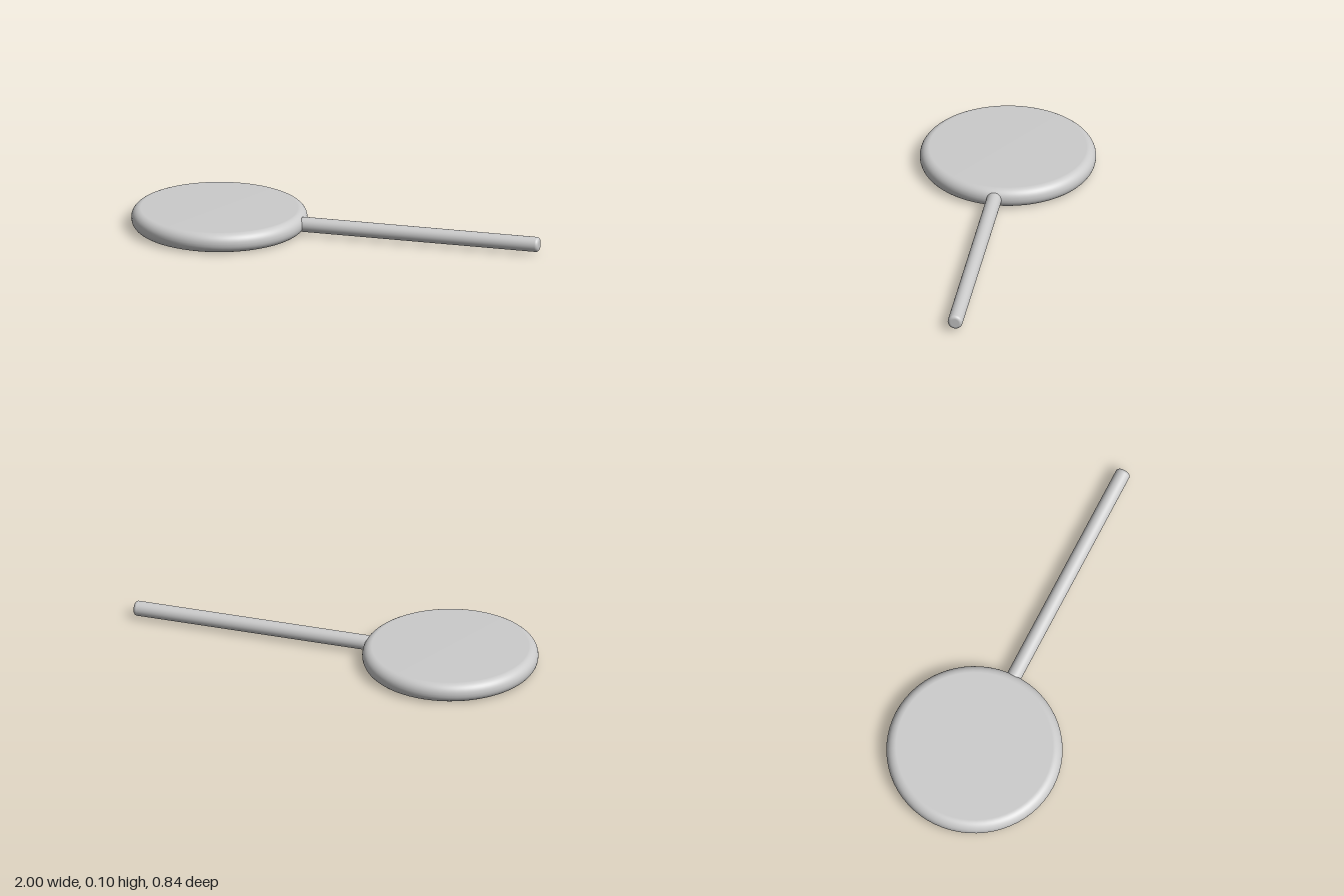
import * as THREE from 'three';

const MID_Y = 0.048;

// Solid of revolution about y with rounded rims, centred on the origin
function roundedDisc(radius, height, fillet, segments) {
  const h = height / 2;
  const points = [new THREE.Vector2(0, -h)];
  const steps = 10;
  for (const [cy, start] of [[-h + fillet, -Math.PI / 2], [h - fillet, 0]]) {
    for (let i = 0; i <= steps; i++) {
      if (start === 0 && i === 0 && h - fillet < 1e-6) continue;
      const a = start + (i / steps) * Math.PI / 2;
      points.push(new THREE.Vector2(radius - fillet + fillet * Math.cos(a), cy + fillet * Math.sin(a)));
    }
  }
  points.push(new THREE.Vector2(0, h));
  return new THREE.LatheGeometry(points, segments);
}

export function createModel() {
  const group = new THREE.Group();
  group.name = 'lollipop';
  const material = new THREE.MeshStandardMaterial({ color: 0xcccccc });

  // Flat candy with a fully rounded edge
  const candy = new THREE.Mesh(roundedDisc(0.42, 2 * MID_Y, MID_Y - 0.002, 64), material);
  candy.name = 'candy';
  candy.position.set(-0.58, MID_Y, 0);
  group.add(candy);

  // Round stick with softened ends, its inner end set into the candy's edge
  const start = -0.18, end = 1;
  const stick = new THREE.Mesh(roundedDisc(0.036, end - start, 0.016, 32), material);
  stick.name = 'stick';
  stick.rotation.z = -Math.PI / 2;
  stick.position.set((start + end) / 2, MID_Y, 0);
  group.add(stick);

  return group;
}
